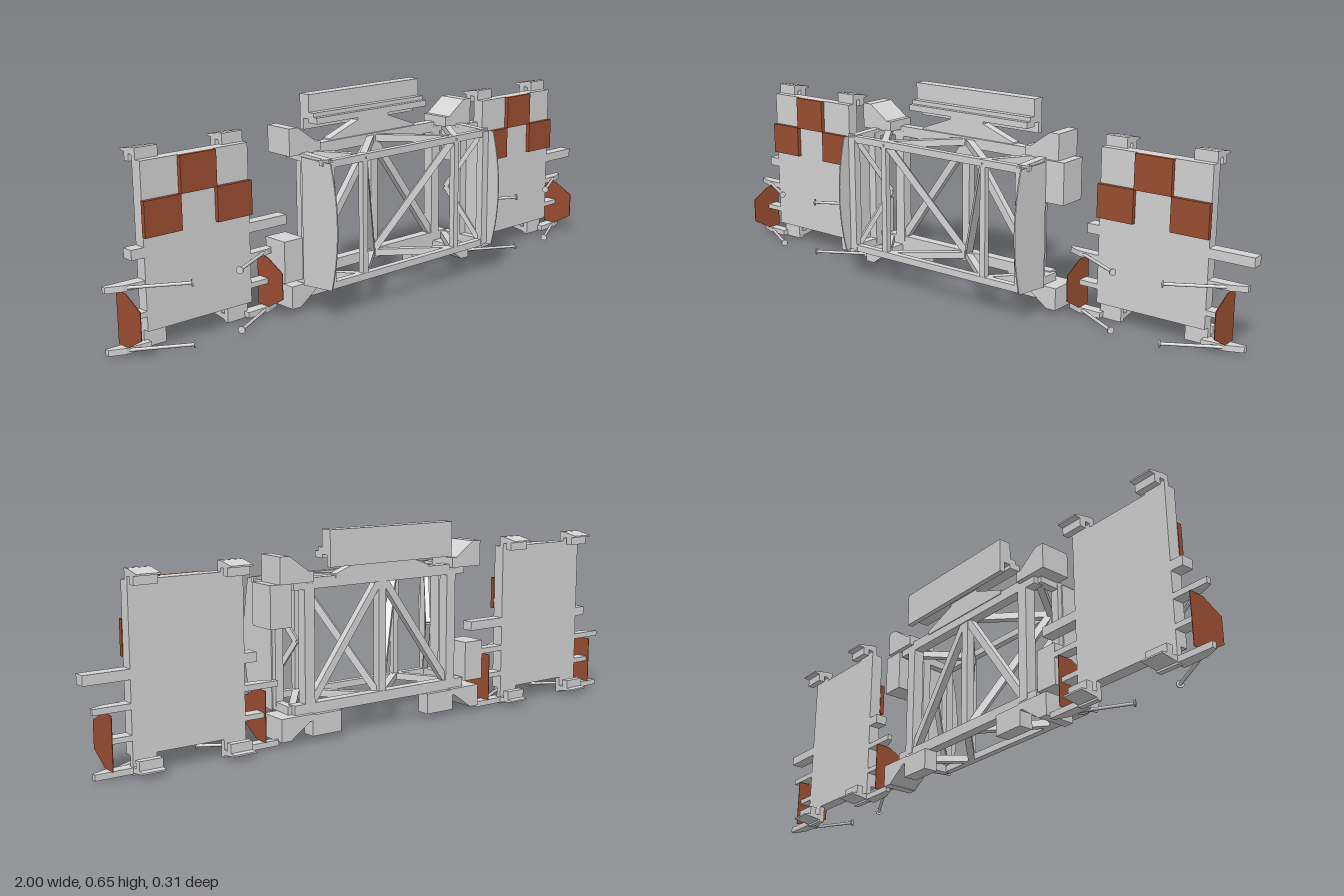
import * as THREE from 'three';

const grey = new THREE.MeshStandardMaterial({ color: 0xd4d4d4 });
grey.name = 'lightGrey';
const rust = new THREE.MeshStandardMaterial({ color: 0x9c4e31 });
rust.name = 'rustBrown';

function mesh(parent, name, geometry, material = grey) {
  const m = new THREE.Mesh(geometry, material);
  m.name = name;
  parent.add(m);
  return m;
}

// box given by its limits on each axis
function box(parent, name, [x0, x1], [y0, y1], [z0, z1], material) {
  const m = mesh(parent, name, new THREE.BoxGeometry(Math.abs(x1 - x0), y1 - y0, z1 - z0), material);
  m.position.set((x0 + x1) / 2, (y0 + y1) / 2, (z0 + z1) / 2);
  return m;
}

// square bar between two points
function beam(parent, name, a, b, w = 0.022) {
  const p = new THREE.Vector3(...a), q = new THREE.Vector3(...b);
  const m = mesh(parent, name, new THREE.BoxGeometry(w, w, p.distanceTo(q)));
  m.position.copy(p).add(q).multiplyScalar(0.5);
  m.lookAt(q);
  return m;
}

// outline in x,y pushed from z0 to z1
function plateXY(parent, name, pts, z0, z1, material) {
  const shape = new THREE.Shape(pts.map(p => new THREE.Vector2(...p)));
  const g = new THREE.ExtrudeGeometry(shape, { depth: z1 - z0, bevelEnabled: false });
  return mesh(parent, name, g.translate(0, 0, z0), material);
}

// outline in z,y pushed from x0 to x1
function plateZY(parent, name, pts, x0, x1, material) {
  const shape = new THREE.Shape(pts.map(([z, y]) => new THREE.Vector2(-z, y)));
  const g = new THREE.ExtrudeGeometry(shape, { depth: x1 - x0, bevelEnabled: false });
  return mesh(parent, name, g.rotateY(Math.PI / 2).translate(x0, 0, 0), material);
}

// flat equipment panel with clips, tiles, side fins and probes
function equipmentPanel(name, cx) {
  const g = new THREE.Group();
  g.name = name;
  g.position.x = cx;
  const back = [-0.1, -0.06], neck = [-0.1, -0.083];
  box(g, 'panel', [-0.181, 0.181], [0.056, 0.545], back);

  // rust tiles on the front
  box(g, 'upperTile', [-0.061, 0.061], [0.435, 0.545], [-0.06, -0.046], rust);
  for (const s of [-1, 1])
    box(g, 'lowerTile', [s * 0.061, s * 0.183], [0.33, 0.435], [-0.061, -0.046], rust);

  // long arms, the inner one shorter
  box(g, 'leftArm', [0.181, 0.32], [0.272, 0.302], back);
  box(g, 'rightArm', [-0.222, -0.181], [0.272, 0.302], back);

  for (const s of [-1, 1]) {
    // corner clips
    const x0 = Math.min(s * 0.108, s * 0.181), x1 = x0 + 0.073;
    box(g, 'upperClipNeck', [x0, x1], [0.545, 0.578], neck);
    plateZY(g, 'upperClipHook', [[-0.1, 0.578], [-0.1, 0.556], [-0.157, 0.562], [-0.157, 0.567]], x0, x1);
    box(g, 'upperClipLip', [x0, x1], [0.535, 0.562], [-0.138, -0.116]);
    box(g, 'lowerClipNeck', [x0, x1], [0.002, 0.056], neck);
    plateZY(g, 'lowerClipHook', [[-0.1, 0.008], [-0.1, 0.026], [-0.157, 0.021], [-0.157, 0.016]], x0, x1);
    box(g, 'lowerClipLip', [x0, x1], [0.02, 0.05], [-0.138, -0.116]);

    // rust side fin on a small arm
    box(g, 'finArm', [s * 0.181, s * 0.245], [0.1, 0.116], back);
    plateZY(g, 'sideFin', [[0.01, 0.147], [0.01, 0.065], [-0.06, 0.025], [-0.11, 0.025], [-0.11, 0.183], [-0.06, 0.183]],
      s * 0.245 - 0.001, s * 0.245 + 0.001, rust);

    // brackets carrying thin probes with round feet
    for (const y of [0.015, 0.197]) {
      const shape = [[0.17, -0.1], [0.295, -0.1], [0.295, -0.085], [0.25, -0.066], [0.17, -0.062]]
        .map(([x, z]) => new THREE.Vector2(s * x, -z));
      const geo = new THREE.ExtrudeGeometry(new THREE.Shape(shape), { depth: 0.018, bevelEnabled: false });
      mesh(g, 'probeBracket', geo.rotateX(-Math.PI / 2).translate(0, y - 0.009, 0));
      const a = new THREE.Vector3(s * 0.265, y, -0.085), b = new THREE.Vector3(s * 0.082, y, 0.02);
      const dir = b.clone().sub(a);
      const turn = new THREE.Quaternion().setFromUnitVectors(new THREE.Vector3(0, 1, 0), dir.clone().normalize());
      const rod = mesh(g, 'probeRod', new THREE.CylinderGeometry(0.005, 0.005, dir.length(), 10));
      rod.position.copy(a).add(b).multiplyScalar(0.5);
      rod.quaternion.copy(turn);
      const foot = mesh(g, 'probeFoot', new THREE.CylinderGeometry(0.011, 0.011, 0.004, 16));
      foot.position.copy(b);
      foot.quaternion.copy(turn);
    }
  }
  return g;
}

function centralFrame() {
  const g = new THREE.Group();
  g.name = 'centralFrame';
  const front = 0.1, rear = -0.08, top = 0.486, bottom = 0.101, end = 0.336, post = 0.2, rearEnd = 0.28;

  // horizontal rails and zigzag bracing, above and below
  for (const [y, yr] of [[top - 0.006, top], [bottom + 0.006, bottom]]) {
    beam(g, 'frontRail', [-end, y, front], [end, y, front]);
    beam(g, 'rearRail', [-end, yr, rear], [end, yr, rear], 0.034);
    for (const s of [-1, 1]) {
      beam(g, 'innerBrace', [0, yr, rear], [s * post, y, front]);
      beam(g, 'outerBrace', [s * post, y, front], [s * end, yr, rear]);
      beam(g, 'endRail', [s * end, y, front], [s * end, yr, rear], 0.026);
    }
  }

  // posts and slanting braces
  beam(g, 'centrePost', [0, bottom, rear], [0, top, rear], 0.028);
  for (const s of [-1, 1]) {
    beam(g, 'frontPost', [s * post, bottom, front], [s * post, top, front], 0.02);
    beam(g, 'frontEndPost', [s * end, bottom, front], [s * end, top, front], 0.026);
    beam(g, 'middleEndPost', [s * end, bottom, 0], [s * end, top, 0], 0.028);
    beam(g, 'rearEndPost', [s * rearEnd, bottom, rear], [s * rearEnd, top, rear], 0.036);
    beam(g, 'depthBrace', [0, bottom, rear], [s * post, top, front]);
    beam(g, 'rearBrace', [0, top, rear], [s * rearEnd, bottom, rear], 0.024);
    for (const y of [bottom, top])
      beam(g, 'endBrace', [s * end, y, front], [s * 0.265, 0.295, 0], 0.016);

    // bowed side wall
    const wall = [[0, 0.487], [0, 0.088], [0.13, 0.1]];
    for (let i = 1; i <= 12; i++) {
      const t = i / 6 - 1;
      wall.push([0.13 + 0.028 * (1 - t * t), 0.2935 + 0.1935 * t]);
    }
    const x = s * 0.354;
    plateZY(g, 'sideWall', wall, x - 0.002, x + 0.002);
    box(g, 'wallPin', [x - 0.008, x + 0.008], [0.476, 0.493], [0.086, 0.1]);

    // bevelled corner blocks, upper and lower
    const up = [[0.273, 0.492], [0.393, 0.492], [0.393, 0.575], [0.36, 0.575], [0.29, 0.525], [0.273, 0.525]];
    const low = [[0.273, 0.088], [0.393, 0.088], [0.393, 0.016], [0.36, 0.016], [0.29, 0.066], [0.273, 0.066]];
    for (const [n, pts] of [['upperCornerBlock', up], ['lowerCornerBlock', low]])
      plateXY(g, n, pts.map(([px, py]) => [s * px, py]), -0.112, -0.01);

    // foot boxes below the frame
    box(g, 'footBox', [s * 0.173, s * 0.281], [0.018, 0.085], [-0.112, -0.065]);
  }

  // equipment boxes, one on each side
  box(g, 'leftSideBox', [0.345, 0.42], [0.36, 0.492], [-0.1, 0]);
  box(g, 'rightSideBox', [-0.42, -0.345], [0.104, 0.235], [-0.1, -0.01]);
  g.position.x = -0.016;
  return g;
}

function topBeam() {
  const g = new THREE.Group();
  g.name = 'topBeam';
  const span = [-0.254, 0.222];
  box(g, 'mainBar', span, [0.572, 0.648], [-0.147, -0.105]);
  box(g, 'upperStep', span, [0.56, 0.593], [-0.106, -0.083]);
  box(g, 'lowerStep', span, [0.56, 0.58], [-0.084, -0.067]);
  box(g, 'lowerBar', span, [0.536, 0.573], [-0.147, -0.13]);
  // tapered support on the frame
  plateXY(g, 'support', [[-0.2, 0.495], [0.168, 0.495], [0.168, 0.508], [0.05, 0.552], [0.05, 0.57], [-0.082, 0.57], [-0.082, 0.552], [-0.2, 0.508]], -0.1, -0.07);
  return g;
}

export function createModel() {
  const model = new THREE.Group();
  model.name = 'equipmentCarrier';
  model.add(equipmentPanel('rightPanel', -0.706), equipmentPanel('leftPanel', 0.676));
  model.add(centralFrame(), topBeam());
  return model;
}
